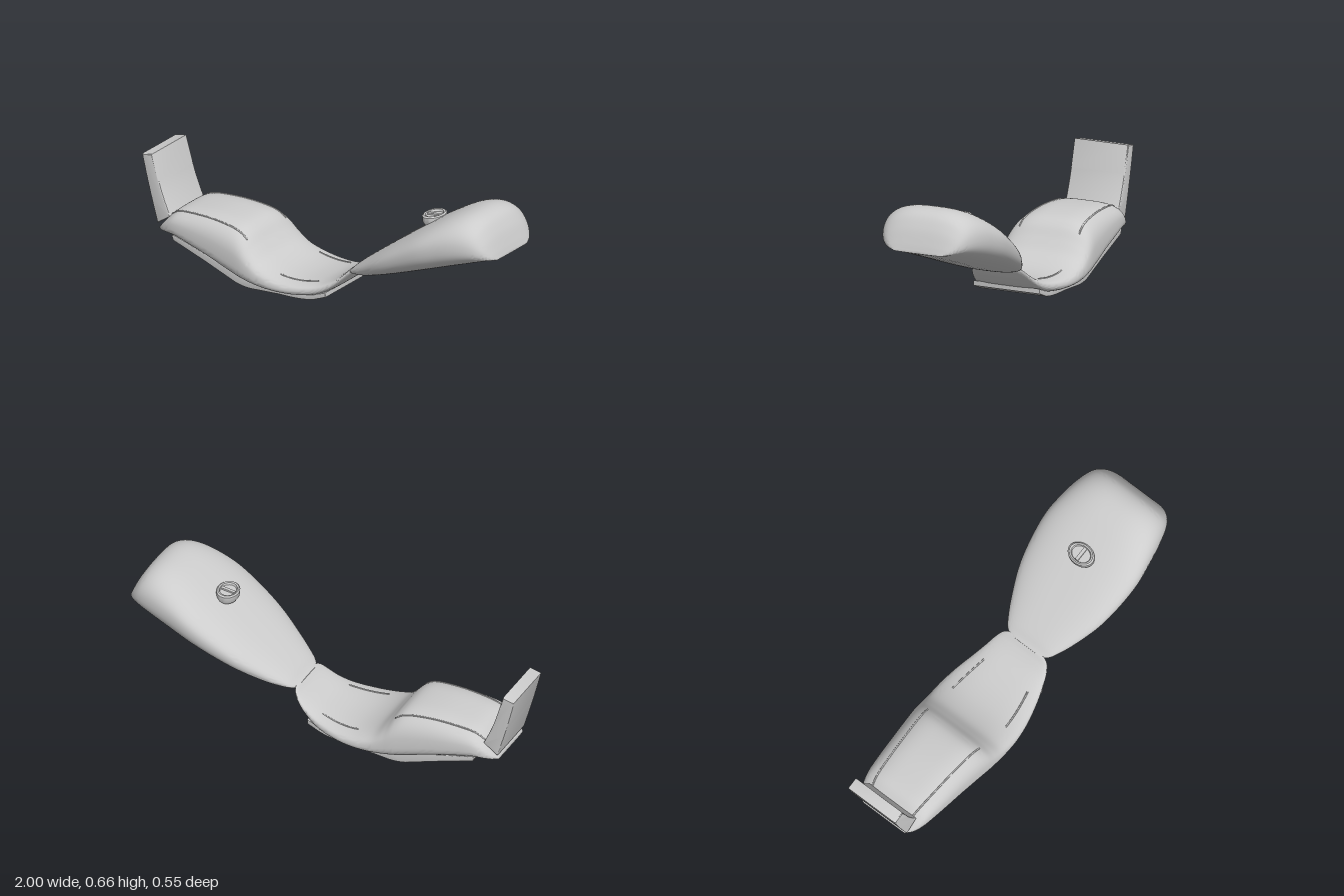
import * as THREE from 'three';
import { toCreasedNormals } from 'three/addons/utils/BufferGeometryUtils.js';

// Returns point(t, angle) on a body swept along x.
// Station: [x, top, bottom, halfWidth, height fraction of the widest line]
function makeBody(stations, { zPow, topPow, lowPow, taper }) {
  const a = new THREE.CatmullRomCurve3(stations.map(s => new THREE.Vector3(s[0], s[1], s[2])), false, 'catmullrom', 0.5);
  const b = new THREE.CatmullRomCurve3(stations.map(s => new THREE.Vector3(s[3], s[4], 0)), false, 'catmullrom', 0.5);
  return (t, angle) => {
    const { x, y: top, z: bottom } = a.getPoint(t);
    const { x: width, y: k } = b.getPoint(t);
    const c = Math.cos(angle), s = Math.sin(angle);
    const mid = bottom + k * (top - bottom);
    const y = s > 0 ? mid + (top - mid) * s ** topPow : mid - (mid - bottom) * (-s) ** lowPow;
    const z = width * Math.sign(c) * Math.abs(c) ** zPow * (1 - taper * Math.max(0, s));
    return new THREE.Vector3(x, y, z);
  };
}

// Skins a body function with rings and closes both ends.
function loft(point, rows, sides) {
  const pos = [], index = [];
  for (let i = 0; i <= rows; i++)
    for (let j = 0; j < sides; j++) pos.push(...point(i / rows, (j / sides) * Math.PI * 2).toArray());
  for (let i = 0; i < rows; i++)
    for (let j = 0; j < sides; j++) {
      const n = (j + 1) % sides;
      const p = i * sides + j, q = p + sides, r = (i + 1) * sides + n, s = i * sides + n;
      index.push(p, q, r, p, r, s);
    }
  for (const end of [0, 1]) {
    const center = pos.length / 3, base = end * rows * sides;
    const mid = point(end, Math.PI / 2).add(point(end, -Math.PI / 2)).multiplyScalar(0.5);
    pos.push(...mid.toArray());
    for (let j = 0; j < sides; j++) {
      const p = base + j, n = base + (j + 1) % sides;
      end ? index.push(center, n, p) : index.push(center, p, n);
    }
  }
  const g = new THREE.BufferGeometry();
  g.setAttribute('position', new THREE.Float32BufferAttribute(pos, 3));
  g.setIndex(index);
  return toCreasedNormals(g, 0.75);
}

// Extrudes a side profile across z, centred.
function slab(shape, width, bevel) {
  const g = new THREE.ExtrudeGeometry(shape, {
    depth: width - 2 * bevel, bevelEnabled: true, bevelSize: bevel, bevelThickness: bevel,
    bevelOffset: -bevel, bevelSegments: 3, curveSegments: 12,
  });
  g.translate(0, 0, -width / 2 + bevel);
  return toCreasedNormals(g, 0.5);
}

export function createModel() {
  const model = new THREE.Group();
  const grey = new THREE.MeshStandardMaterial({ color: 0xcccccc });
  grey.name = 'light grey';
  const add = (name, geometry, parent = model) => {
    const mesh = new THREE.Mesh(geometry, grey);
    mesh.name = name;
    parent.add(mesh);
    return mesh;
  };

  // Fuel tank: rises towards +x and ends in a creased lip
  const tank = makeBody([
    [0.147, 0.208, 0.190, 0.085, 0.5],
    [0.165, 0.222, 0.190, 0.118, 0.5],
    [0.20, 0.255, 0.194, 0.145, 0.5],
    [0.28, 0.318, 0.212, 0.188, 0.53],
    [0.40, 0.408, 0.254, 0.238, 0.55],
    [0.52, 0.495, 0.298, 0.264, 0.55],
    [0.64, 0.575, 0.342, 0.274, 0.55],
    [0.75, 0.636, 0.382, 0.262, 0.5],
    [0.84, 0.660, 0.415, 0.245, 0.45],
    [0.91, 0.643, 0.441, 0.224, 0.42],
    [0.955, 0.588, 0.458, 0.198, 0.42],
    [0.985, 0.522, 0.468, 0.163, 0.45],
    [1.0, 0.480, 0.474, 0.125, 0.5],
  ], { zPow: 0.72, topPow: 0.75, lowPow: 0.75, taper: 0.08 });
  add('tank', loft(tank, 72, 64));

  // Filler cap: disc with a raised rim and a finger grip
  const cap = new THREE.Group();
  cap.name = 'fillerCap';
  cap.position.set(0.563, 0.545, 0);
  cap.rotation.z = 0.1;
  model.add(cap);
  const rim = [[0, -0.03], [0.045, -0.03], [0.052, -0.016], [0.052, 0.012], [0.046, 0.018], [0.039, 0.016], [0.036, 0.006], [0, 0.006]];
  const rimMesh = add('capRim', toCreasedNormals(new THREE.LatheGeometry(rim.map(p => new THREE.Vector2(...p)), 40), 0.6), cap);
  rimMesh.scale.z = 1.3;
  const grip = add('capGrip', new THREE.BoxGeometry(0.07, 0.012, 0.016), cap);
  grip.position.y = 0.008;

  // Seat cushion: rear hump, low riding dip, thin nose under the tank
  const seat = makeBody([
    [-0.91, 0.168, 0.152, 0.125, 0.4],
    [-0.88, 0.205, 0.151, 0.155, 0.4],
    [-0.84, 0.250, 0.150, 0.175, 0.38],
    [-0.79, 0.283, 0.147, 0.187, 0.36],
    [-0.70, 0.298, 0.124, 0.197, 0.34],
    [-0.58, 0.304, 0.090, 0.207, 0.32],
    [-0.46, 0.293, 0.052, 0.218, 0.32],
    [-0.40, 0.264, 0.038, 0.224, 0.33],
    [-0.35, 0.208, 0.033, 0.227, 0.36],
    [-0.29, 0.153, 0.031, 0.229, 0.4],
    [-0.20, 0.119, 0.032, 0.228, 0.45],
    [-0.10, 0.110, 0.036, 0.214, 0.5],
    [0.00, 0.123, 0.054, 0.189, 0.5],
    [0.07, 0.148, 0.092, 0.167, 0.5],
    [0.12, 0.180, 0.138, 0.148, 0.5],
    [0.15, 0.208, 0.176, 0.122, 0.5],
    [0.168, 0.222, 0.200, 0.065, 0.5],
  ], { zPow: 0.55, topPow: 0.5, lowPow: 0.7, taper: 0.15 });
  add('seatCushion', loft(seat, 96, 64));

  // Seam piping along both top edges of the cushion
  for (const [label, side] of [['left', 1], ['right', -1]])
    for (const [part, from, to] of [['rear', 2, 7.2], ['front', 10, 12]]) {
      const path = [];
      for (let i = 0; i <= 12; i++) {
        const t = (from + (to - from) * i / 12) / 16;
        const angle = Math.PI / 2 - side * 0.68;
        path.push(seat(t, angle));
      }
      add(`${label}${part === 'rear' ? 'Rear' : 'Front'}Piping`,
        new THREE.TubeGeometry(new THREE.CatmullRomCurve3(path), 40, 0.004, 6));
    }

  // Base plate following the underside of the cushion
  const plate = new THREE.Shape();
  plate.moveTo(-0.81, 0.158);
  plate.lineTo(-0.80, 0.136);
  plate.lineTo(-0.62, 0.076);
  plate.lineTo(-0.45, 0.014);
  plate.quadraticCurveTo(-0.40, 0.0, -0.35, 0.004);
  plate.lineTo(-0.20, 0.016);
  plate.quadraticCurveTo(-0.06, 0.018, 0.0, 0.04);
  plate.lineTo(0.062, 0.066);
  plate.lineTo(0.062, 0.09);
  plate.lineTo(0.0, 0.066);
  plate.quadraticCurveTo(-0.06, 0.045, -0.20, 0.045);
  plate.lineTo(-0.38, 0.04);
  plate.lineTo(-0.60, 0.11);
  plate.lineTo(-0.80, 0.162);
  add('basePlate', slab(plate, 0.34, 0.003));

  // Backrest: leaning wedge behind the hump
  const back = new THREE.Shape();
  back.moveTo(-0.912, 0.185);
  back.lineTo(-0.84, 0.235);
  back.quadraticCurveTo(-0.885, 0.33, -0.905, 0.40);
  back.lineTo(-0.942, 0.525);
  back.lineTo(-1.0, 0.513);
  back.quadraticCurveTo(-0.965, 0.36, -0.912, 0.185);
  add('backrest', slab(back, 0.28, 0.008));

  return model;
}
